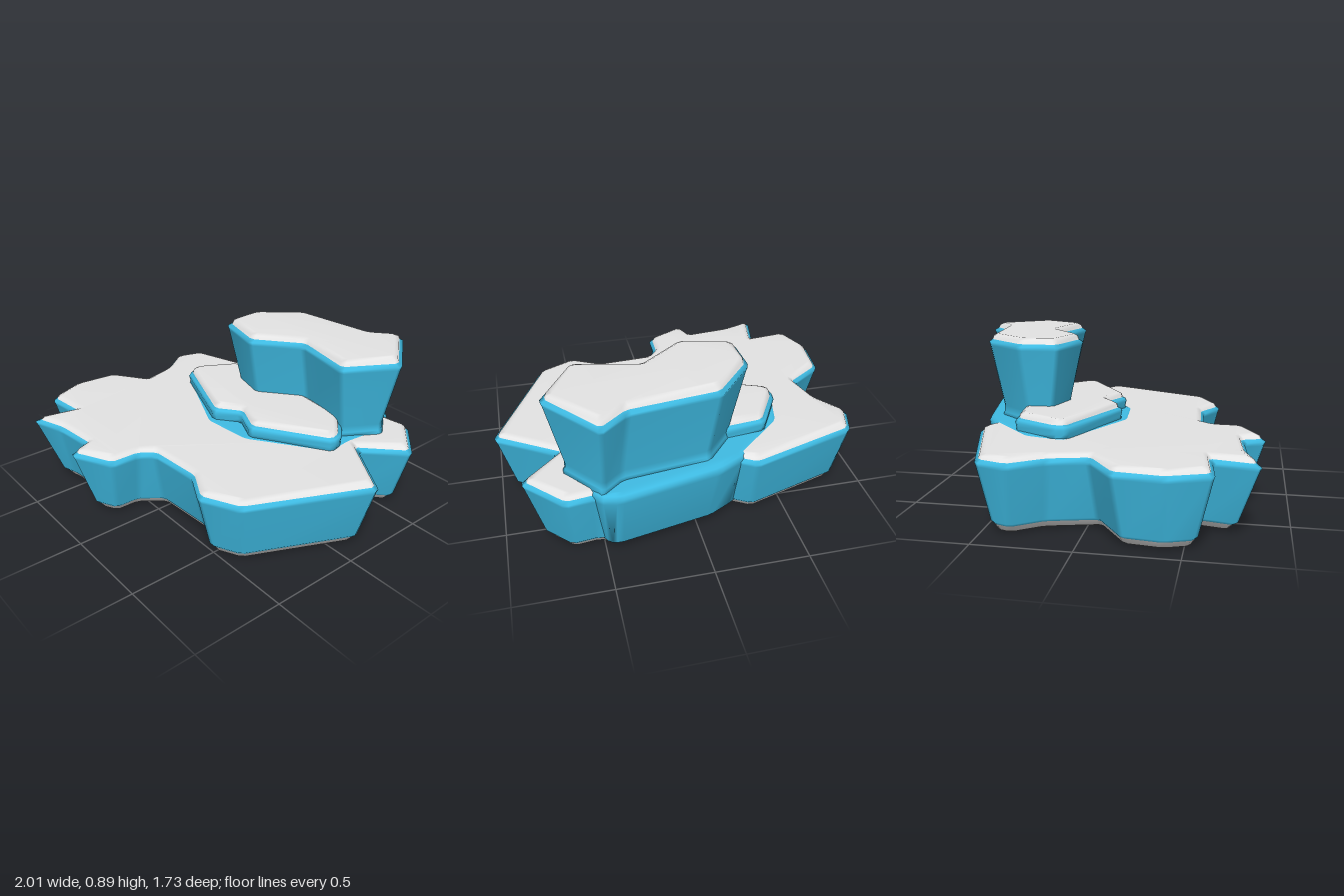
import * as THREE from 'three';

const ice = new THREE.MeshStandardMaterial({ color: 0x3fbce4 });
ice.name = 'blue ice';
const snow = new THREE.MeshStandardMaterial({ color: 0xe4e4e4 });
snow.name = 'pale snow';
const ICE = 0, SNOW = 1;

// Outlines as [x, z], counter-clockwise seen from above
const floeOutline = [
  [-0.31, -0.682], [-0.90, -0.498], [-0.953, -0.33], [-0.83, -0.16], [-0.78, 0.03],
  [-0.977, 0.165], [-1.005, 0.42], [-0.92, 0.638], [-0.70, 0.613], [-0.75, 0.85],
  [-0.55, 0.78], [-0.31, 0.755], [-0.265, 0.875], [-0.03, 0.755], [-0.025, 0.595],
  [0.03, 0.525], [0.33, 0.505], [0.50, 0.597], [0.708, 0.495], [1.014, -0.152],
  [0.69, -0.36], [0.897, -0.56], [0.695, -0.775], [0.54, -0.755], [0.42, -0.79],
  [-0.10, -0.69], [-0.215, -0.625],
];
const skirtOutline = [
  [-0.25, -0.625], [-0.53, -0.37], [-0.585, -0.14], [-0.05, 0.115], [0.25, 0.09],
  [0.66, -0.19], [0.64, -0.34], [0.66, -0.54], [0.53, -0.79], [0.43, -0.812], [-0.10, -0.705],
];
const ledgeOutline = [
  [-0.42, -0.45], [-0.555, -0.21], [-0.545, -0.13], [-0.04, 0.075], [0.09, -0.025],
  [0.25, 0.05], [0.65, -0.20], [0.63, -0.285], [0.50, -0.42], [-0.15, -0.48],
];
const towerOutline = [
  [-0.10, -0.695], [-0.302, -0.46], [-0.292, -0.237], [0.0, -0.16], [0.24, -0.352],
  [0.592, -0.272], [0.763, -0.56], [0.512, -0.877], [0.37, -0.757],
];

// Move every side of an outline inward by d, with mitred corners
function inset(points, d) {
  const n = points.length;
  return points.map((p, i) => {
    const a = points[(i + n - 1) % n], b = points[(i + 1) % n];
    const u = p.clone().sub(a).normalize(), v = b.clone().sub(p).normalize();
    const n1 = new THREE.Vector2(-u.y, u.x), n2 = new THREE.Vector2(-v.y, v.x);
    const m = n1.clone().add(n2);
    return p.clone().addScaledVector(m, d / Math.max(0.45, 1 + n1.dot(n2)));
  });
}

// Cut each corner into a short facet
function softenCorners(points, cut = 0.018) {
  const n = points.length;
  return points.flatMap((p, i) => [points[(i + n - 1) % n], points[(i + 1) % n]].map((q) => {
    const length = p.distanceTo(q);
    return p.clone().lerp(q, Math.min(cut / length, 0.3));
  }));
}

// Loft an outline through rings of [height, inset, colour of the band above]
function slab(name, outline, rings) {
  const base = outline.map(([x, z]) => new THREE.Vector2(x, -z));
  const loops = rings.map(([, d]) => softenCorners(inset(base, d)));
  const n = loops[0].length;
  const positions = [], index = [];
  const geometry = new THREE.BufferGeometry();
  loops.forEach((loop, r) => loop.forEach((p) => positions.push(p.x, rings[r][0], -p.y)));

  const band = (colour, faces) => {
    geometry.addGroup(index.length, faces.length, colour);
    index.push(...faces);
  };
  for (let r = 0; r < rings.length - 1; r++) {
    const faces = [];
    for (let j = 0; j < n; j++) {
      const a = r * n + j, b = r * n + (j + 1) % n;
      faces.push(a, b, b + n, a, b + n, a + n);
    }
    band(rings[r][2], faces);
  }
  // Flat bottom and top
  const last = rings.length - 1;
  const bottom = THREE.ShapeUtils.triangulateShape(loops[0], []);
  const top = THREE.ShapeUtils.triangulateShape(loops[last], []);
  band(rings[0][2], bottom.flatMap(([a, b, c]) => [a, c, b]));
  band(rings[last][2], top.flatMap((f) => f.map((k) => k + last * n)));

  geometry.setAttribute('position', new THREE.Float32BufferAttribute(positions, 3));
  geometry.setIndex(index);
  geometry.computeVertexNormals();
  const mesh = new THREE.Mesh(geometry, [ice, snow]);
  mesh.name = name;
  return mesh;
}

export function createModel() {
  const group = new THREE.Group();
  group.name = 'iceFloe';
  group.add(
    // Wide floating sheet with pale underside and top
    slab('floeBase', floeOutline, [
      [0, 0.125, SNOW], [0.012, 0.10, SNOW], [0.045, 0.08, ICE], [0.06, 0.067, ICE],
      [0.35, 0.006, ICE], [0.37, 0, ICE], [0.385, 0.018, SNOW], [0.40, 0.025, SNOW],
      [0.41, 0.047, SNOW],
    ]),
    // Blue step that also forms the back wall
    slab('iceSkirt', skirtOutline, [
      [0.05, 0.07, ICE], [0.36, 0.003, ICE], [0.385, 0, ICE], [0.405, 0.01, ICE],
      [0.414, 0.03, ICE],
    ]),
    // Low notched ledge
    slab('ledge', ledgeOutline, [
      [0.40, 0.004, ICE], [0.43, 0.006, ICE], [0.455, 0, ICE], [0.47, 0.008, ICE],
      [0.478, 0.022, SNOW], [0.497, 0.026, SNOW], [0.508, 0.046, SNOW],
    ]),
    // Tall block flaring towards its top
    slab('tower', towerOutline, [
      [0.40, 0.06, ICE], [0.43, 0.072, ICE], [0.47, 0.073, ICE], [0.82, 0.006, ICE],
      [0.84, 0, ICE], [0.855, 0.02, SNOW], [0.875, 0.027, SNOW], [0.887, 0.048, SNOW],
    ]),
  );
  return group;
}
